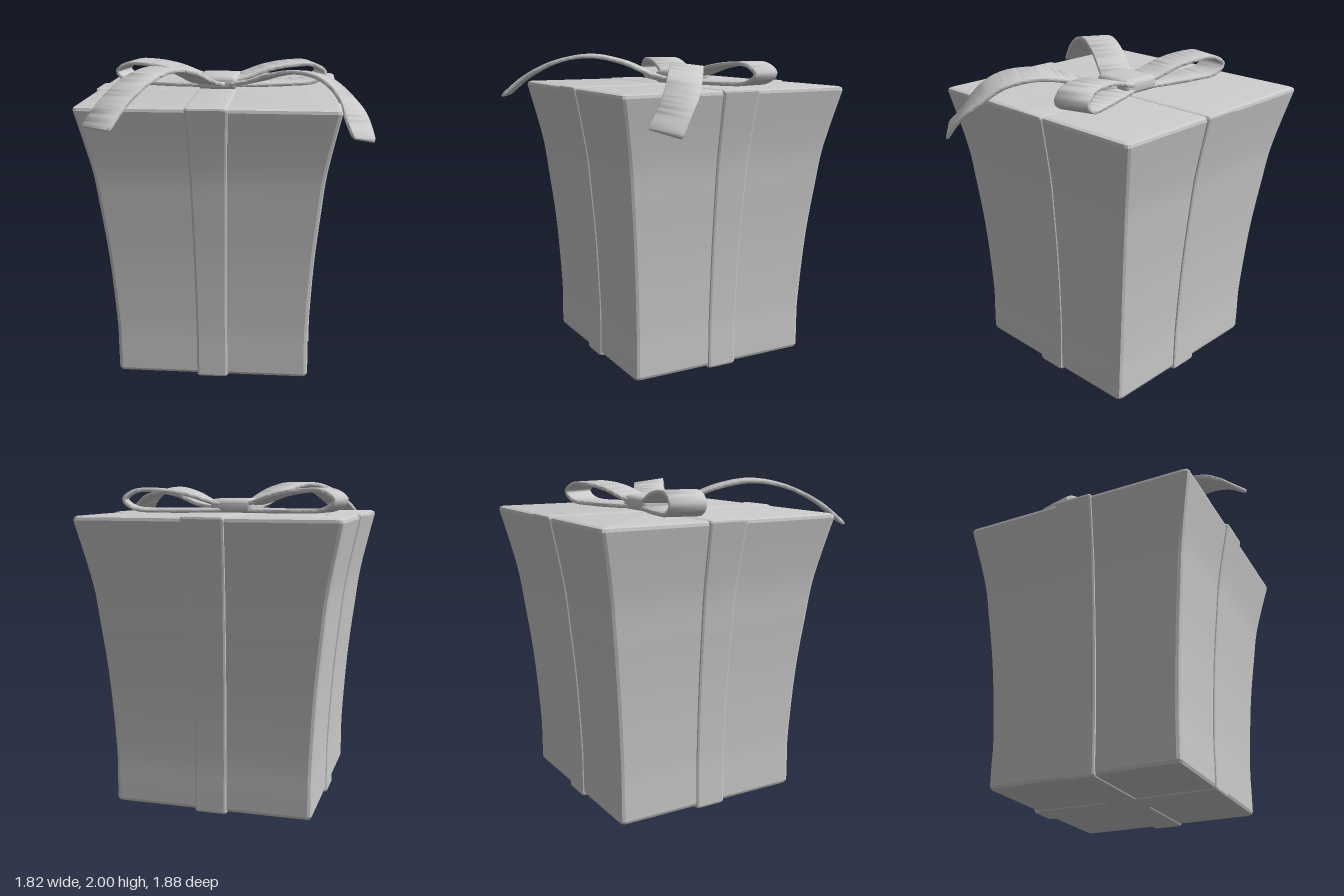
import * as THREE from 'three';
import { toCreasedNormals } from 'three/addons/utils/BufferGeometryUtils.js';
import { RoundedBoxGeometry } from 'three/addons/geometries/RoundedBoxGeometry.js';

const material = new THREE.MeshStandardMaterial({ color: 0xcccccc });
const V = (x, y, z) => new THREE.Vector3(x, y, z);

// Skin a stack of equal-length rings and cap both ends
function loft(rings, crease) {
  const n = rings[0].length, last = (rings.length - 1) * n, index = [];
  for (let i = 0; i < rings.length - 1; i++) {
    for (let j = 0; j < n; j++) {
      const a = i * n + j, b = i * n + (j + 1) % n;
      index.push(a, b, b + n, a, b + n, a + n);
    }
  }
  for (let j = 1; j < n - 1; j++) {
    index.push(0, j + 1, j, last, last + j, last + j + 1);
  }
  const geometry = new THREE.BufferGeometry().setFromPoints(rings.flat());
  geometry.setIndex(index);
  return toCreasedNormals(geometry, crease);
}

// Rectangle with softened corners, spanned by two axes
function section(center, U, W, hu, hw, r) {
  const ring = [];
  for (const [su, sw, start] of [[1, 1, 0], [-1, 1, 1], [-1, -1, 2], [1, -1, 3]]) {
    for (let k = 0; k <= 2; k++) {
      const a = (start + k / 2) * Math.PI / 2;
      ring.push(center.clone()
        .addScaledVector(U, su * (hu - r) + r * Math.cos(a))
        .addScaledVector(W, sw * (hw - r) + r * Math.sin(a)));
    }
  }
  return ring;
}

// Flared side profile: half width of the box against height
const flare = new THREE.SplineCurve([
  [0.62, 0], [0.62, 0.18], [0.621, 0.36], [0.646, 0.8], [0.682, 1.16], [0.714, 1.42], [0.798, 1.82],
].map(([h, y]) => new THREE.Vector2(h, y))).getPoints(48);
function halfWidth(y) {
  const i = Math.max(1, flare.findIndex((p) => p.y >= y));
  const a = flare[i - 1], b = flare[i];
  return THREE.MathUtils.mapLinear(y, a.y, b.y, a.x, b.x);
}

// Flared, slightly leaning block; size(h) gives the half sizes along x and z
function flaredBlock(y0, y1, bevel, size) {
  const levels = [[y0, bevel], [y0 + bevel * 0.3, bevel * 0.3]];
  for (let i = 0; i <= 24; i++) {
    levels.push([THREE.MathUtils.lerp(y0 + bevel, y1 - bevel, i / 24), 0]);
  }
  levels.push([y1 - bevel * 0.3, bevel * 0.3], [y1, bevel]);
  return loft(levels.map(([y, inset]) => {
    const [hx, hz] = size(halfWidth(y));
    const center = V(-0.006 * y, y, -0.009 * y);
    return section(center, V(0, 0, 1), V(1, 0, 0), hz - inset, hx - inset, bevel);
  }), 0.35);
}

// Ribbon swept along points; a fixed side vector is used for loops
function ribbon(points, width, tilt = 0, fixedSide = null) {
  const curve = new THREE.CatmullRomCurve3(points), steps = 64, rings = [];
  for (let i = 0; i <= steps; i++) {
    const t = i / steps, T = curve.getTangentAt(t);
    const side = fixedSide ? fixedSide.clone() : V(0, 1, 0).cross(T).normalize();
    side.y += tilt * t * t;
    side.addScaledVector(T, -side.dot(T)).normalize();
    const up = T.clone().cross(side);
    const shrink = i === 0 || i === steps ? 0.006 : 0;
    rings.push(section(curve.getPointAt(t), side, up, width / 2 - shrink, 0.013 - shrink, 0.006));
  }
  return loft(rings, 1.2);
}

export function createModel() {
  const group = new THREE.Group();
  const add = (name, geometry, parent = group) => {
    const mesh = new THREE.Mesh(geometry, material);
    mesh.name = name;
    parent.add(mesh);
    return mesh;
  };

  // Box with two crossing bands, slightly turned
  const box = new THREE.Group();
  box.name = 'giftBox';
  box.position.set(-0.086, 0, -0.111);
  box.rotation.y = 0.025;
  group.add(box);
  add('boxBody', flaredBlock(0.015, 1.805, 0.025, (h) => [h, h]), box);
  add('frontBackBand', flaredBlock(0.003, 1.811, 0.016, (h) => [h * 0.163, h + 0.012]), box);
  add('sideBand', flaredBlock(0.004, 1.81, 0.016, (h) => [h + 0.012, h * 0.163]), box);

  // Two teardrop loops of the bow
  const loopProfile = [
    [0.0, 1.855], [0.14, 1.87], [0.32, 1.925], [0.5, 1.95], [0.64, 1.942], [0.705, 1.89],
    [0.64, 1.838], [0.45, 1.824], [0.22, 1.824], [0.0, 1.83],
  ];
  for (const [name, ex, ez] of [['leftLoop', 0.6, -0.405], ['rightLoop', -0.8, -0.315]]) {
    const start = V(-0.095, 0, -0.172);
    const dir = V(ex, 0, ez).sub(start).normalize();
    const points = loopProfile.map(([s, y]) => start.clone().addScaledVector(dir, s).setY(y));
    add(name, ribbon(points, 0.222, 0, V(0, 1, 0).cross(dir)));
  }

  // Two loose tails
  add('rightTail', ribbon([
    V(-0.095, 1.83, -0.16), V(-0.175, 1.86, 0.0), V(-0.277, 1.945, 0.18), V(-0.385, 1.987, 0.38),
    V(-0.49, 1.95, 0.58), V(-0.59, 1.85, 0.76), V(-0.668, 1.722, 0.897),
  ], 0.212));
  add('leftTail', ribbon([
    V(-0.08, 1.83, -0.16), V(0.13, 1.86, -0.07), V(0.3, 1.92, 0.015), V(0.45, 1.943, 0.095),
    V(0.62, 1.91, 0.195), V(0.755, 1.79, 0.295), V(0.85, 1.592, 0.445),
  ], 0.205, -0.6));

  // Pillow-like knot, a little wider at the back
  const knotShape = new RoundedBoxGeometry(0.265, 0.1, 0.288, 6, 0.035);
  const p = knotShape.attributes.position;
  for (let i = 0; i < p.count; i++) {
    const x = p.getX(i), z = p.getZ(i);
    p.setX(i, x * (1 - 0.3 * z));
    p.setY(i, p.getY(i) * (1.05 - 6 * x * x - 3 * z * z));
  }
  const knot = add('knot', toCreasedNormals(knotShape, 0.9));
  knot.position.set(-0.098, 1.85, -0.168);

  return group;
}
